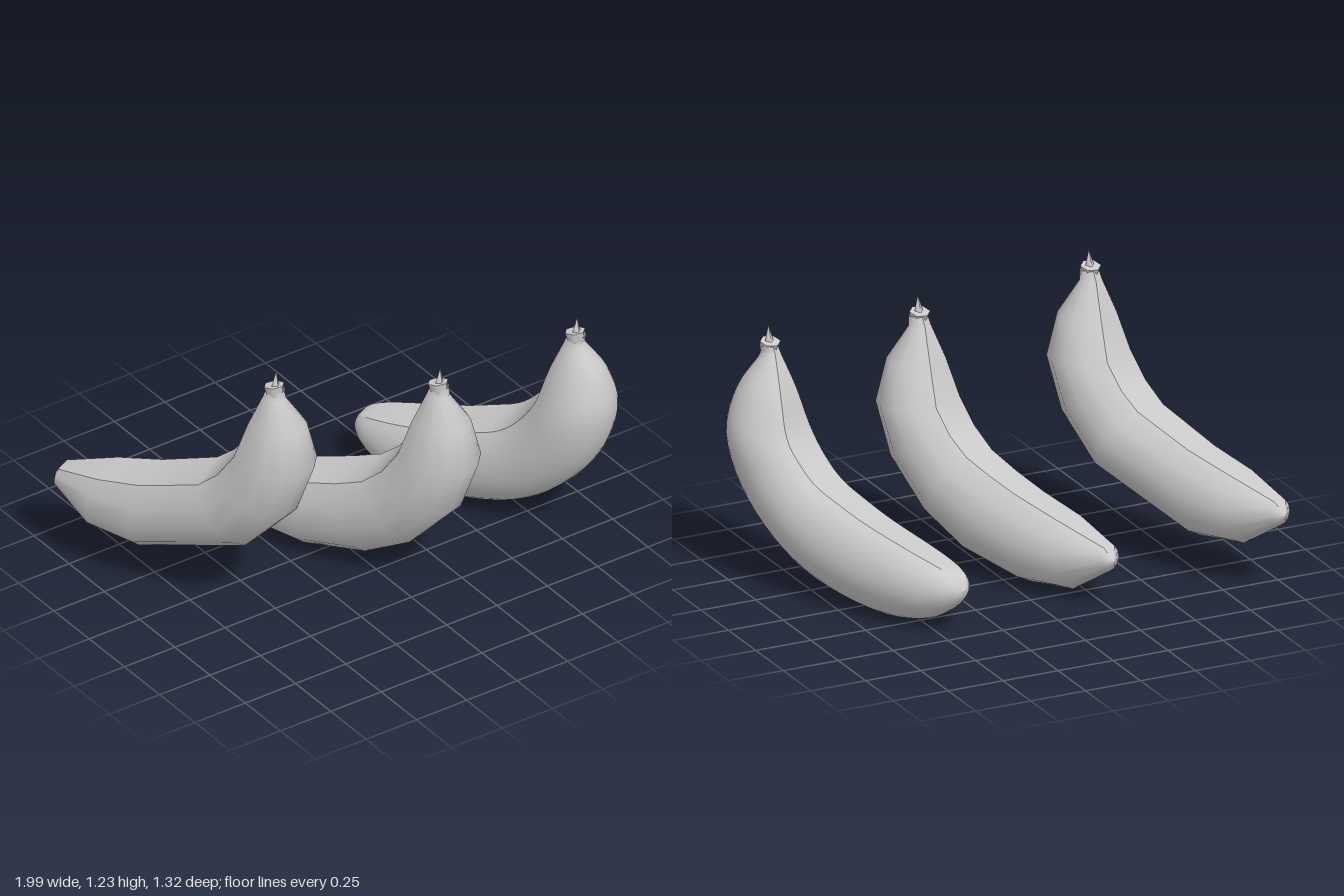
import * as THREE from 'three';

const SLOPE = 0.43;                                   // heading of each fruit in plan
const ROLL = 0.16;                                    // lean of the inner face to the right
const SIDE = new THREE.Vector3(0.918, 0, -0.396);     // sideways direction
const MAT = new THREE.MeshStandardMaterial({ color: 0xcccccc, side: THREE.DoubleSide });

// Stations from stem to tail: outer z, y, inner z, y, half width, sideways shift
const STATIONS = [
  [0.555, 0.985, 0.485, 0.995, 0.036, -0.03],
  [0.556, 0.94, 0.468, 0.95, 0.042, -0.03],
  [0.625, 0.805, 0.395, 0.81, 0.112, -0.01],
  [0.652, 0.62, 0.335, 0.65, 0.165, 0],
  [0.575, 0.39, 0.265, 0.55, 0.17, 0],
  [0.40, 0.185, 0.19, 0.482, 0.168, 0],
  [0.20, 0.065, 0.08, 0.432, 0.165, 0],
  [-0.08, 0.003, -0.04, 0.383, 0.156, 0],
  [-0.29, 0.025, -0.23, 0.325, 0.138, 0],
  [-0.40, 0.085, -0.37, 0.282, 0.104, 0],
  [-0.457, 0.145, -0.44, 0.248, 0.06, 0],
  [-0.475, 0.19, -0.475, 0.19, 0, 0],
];

// Skin between rings of equal length
function loft(rings) {
  const n = rings[0].length, index = [];
  for (let i = 0; i < rings.length - 1; i++)
    for (let j = 0; j < n - 1; j++) {
      const a = i * n + j, c = a + n;
      index.push(a, a + 1, c, a + 1, c + 1, c);
    }
  const g = new THREE.BufferGeometry().setFromPoints(rings.flat());
  g.setIndex(index);
  g.computeVertexNormals();
  return g;
}

// Smooth extra stations by running curves through the measured ones
function refine(rows, count) {
  const curve = (a, b, c) => new THREE.CatmullRomCurve3(
    rows.map(r => new THREE.Vector3(r[a], r[b], r[c])), false, 'catmullrom', 0.5);
  const first = curve(0, 1, 4), second = curve(2, 3, 5);
  return Array.from({ length: count + 1 }, (_, i) => {
    const p = first.getPoint(i / count), q = second.getPoint(i / count);
    return [p.x, p.y, q.x, q.y, Math.max(p.z, 0), q.z];
  });
}

// Place a section point: side and depth run from -1 to 1, the inner face at high depth
function place([oz, oy, iz, iy, w, dx], side, depth) {
  const d = depth + ROLL * side, s = side - ROLL * depth;
  const z = (oz + iz) / 2 + (iz - oz) / 2 * 0.96 * d;
  const y = (oy + iy) / 2 + (iy - oy) / 2 * d;
  return new THREE.Vector3(0.615 + SLOPE * z + dx, y, z).addScaledVector(SIDE, w * s);
}

function add(group, name, geometry) {
  const mesh = new THREE.Mesh(geometry, MAT);
  mesh.name = name;
  group.add(mesh);
  return mesh;
}

function banana(name, { sides, skip = [], smooth = 0 }, offset) {
  const group = new THREE.Group();
  group.name = name;
  let rows = STATIONS.filter((_, i) => !skip.includes(i));
  if (smooth) rows = refine(rows, smooth);

  // Rounded skin around the outside, leaving the inner face open
  const edge = 0.58, rim = 0.89;
  const section = Array.from({ length: sides + 1 }, (_, j) => {
    const a = edge + (2 * Math.PI - 2 * edge) * j / sides, c = Math.cos(a);
    return [Math.sin(a), c > 0 ? c * rim / Math.cos(edge) : c];
  });
  add(group, 'skin', loft(rows.map(r => section.map(p => place(r, ...p)))));

  // Flat inner face with creased edges
  const e = Math.sin(edge);
  const strip = [[-e, rim], [0, rim], [e, rim]];
  add(group, 'innerFace', loft(rows.map(r => strip.map(p => place(r, ...p)))));

  // Small flared stem collar
  const collar = add(group, 'stemCollar', new THREE.CylinderGeometry(0.044, 0.034, 0.045, 6));
  collar.position.set(0.802, 0.982, 0.519);
  collar.rotation.set(-0.2, 0.3, 0);

  // Thin dry tip
  const tip = add(group, 'stemTip', new THREE.ConeGeometry(0.024, 0.085, 4));
  tip.position.set(0.805, 1.03, 0.522);
  tip.rotation.z = -0.06;

  group.position.set(...offset);
  return group;
}

export function createModel() {
  const model = new THREE.Group();
  model.name = 'bananas';
  model.add(
    banana('smoothBanana', { sides: 24, smooth: 44 }, [0, 0, 0]),
    banana('middleBanana', { sides: 10, skip: [9] }, [-0.68, 0.01, 0]),
    banana('raisedBanana', { sides: 10, skip: [6, 9] }, [-1.365, 0.155, -0.185]),
  );
  return model;
}
